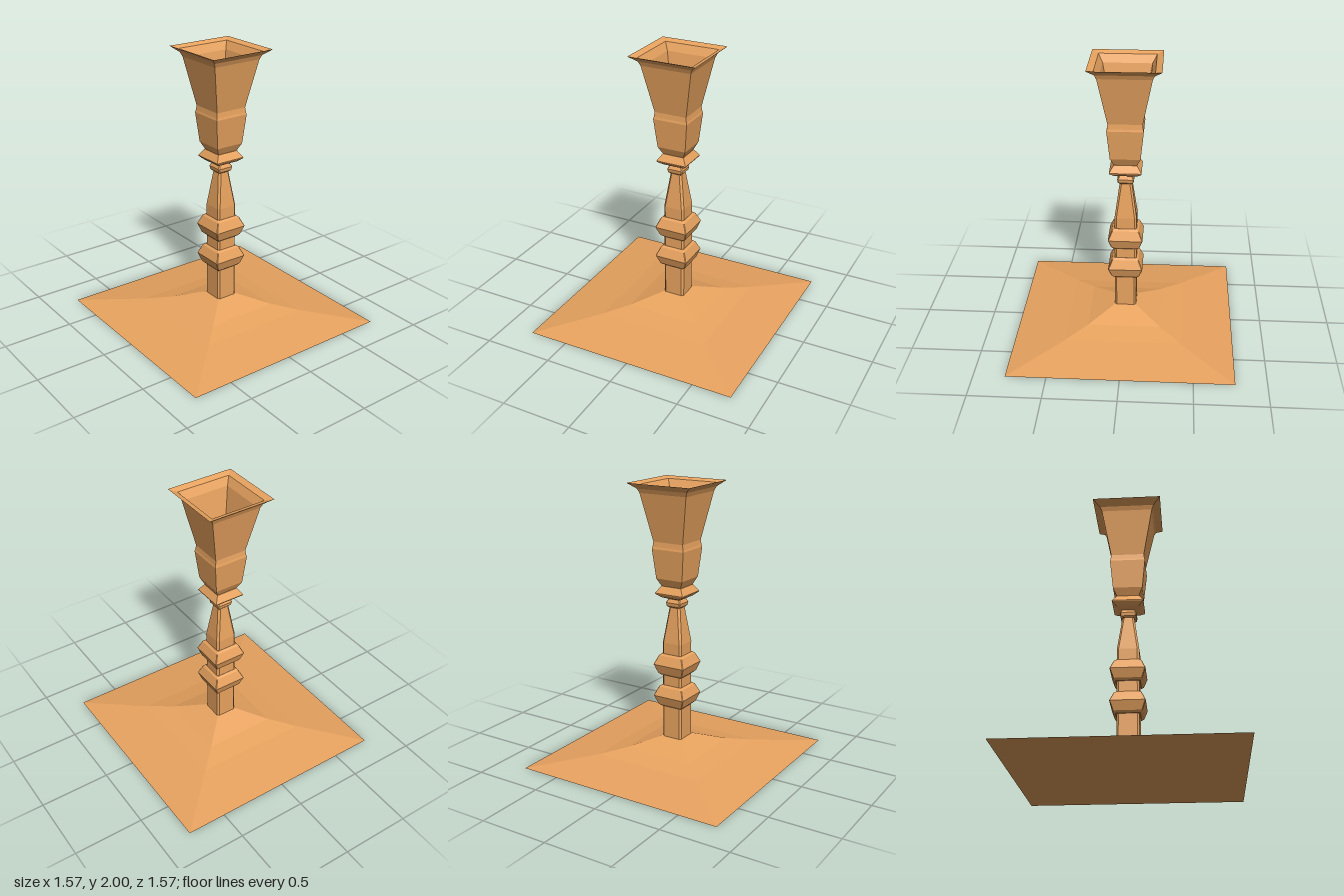
import * as THREE from 'three';

const material = new THREE.MeshStandardMaterial({ color: 0xe8a35f, flatShading: true });

// Square ring with optionally clipped corners, counter-clockwise from above
function ring(half, y, cut) {
  const corners = [[1, 1], [1, -1], [-1, -1], [-1, 1]];
  const c = Math.min(cut, half);
  return corners.flatMap(([x, z], i) => {
    if (!cut) return [[x * half, y, z * half]];
    const onX = [x * half, y, z * (half - c)];
    const onZ = [x * (half - c), y, z * half];
    return i % 2 === 0 ? [onZ, onX] : [onX, onZ];
  });
}

// Skin a profile of [half width, height] points with square rings
function squareTurned(name, profile, cut = 0) {
  const rings = profile.map(([half, y]) => ring(half, y, cut));
  const positions = [];
  for (let k = 0; k < rings.length - 1; k++) {
    const n = rings[k].length;
    for (let i = 0; i < n; i++) {
      const j = (i + 1) % n;
      const a = rings[k][i], b = rings[k][j];
      const c = rings[k + 1][j], d = rings[k + 1][i];
      if (profile[k][0] > 0) positions.push(...a, ...b, ...c);
      if (profile[k + 1][0] > 0) positions.push(...a, ...c, ...d);
    }
  }
  const geometry = new THREE.BufferGeometry();
  geometry.setAttribute('position', new THREE.Float32BufferAttribute(positions, 3));
  geometry.computeVertexNormals();
  const mesh = new THREE.Mesh(geometry, material);
  mesh.name = name;
  return mesh;
}

export function createModel() {
  const group = new THREE.Group();
  group.name = 'candlestick';

  // Flared foot, closed underneath
  group.add(squareTurned('base', [
    [0, 0], [0.783, 0], [0.41, 0.055], [0.26, 0.09], [0.08, 0.157], [0, 0.157],
  ]));

  // Stem with clipped corners, tapering upward
  group.add(squareTurned('stem', [
    [0, 0.15], [0.078, 0.15], [0.078, 0.87], [0.071, 0.92], [0.042, 1.13], [0, 1.13],
  ], 0.014));

  // Two matching knobs
  [['lowerKnob', 0.395], ['upperKnob', 0.63]].forEach(([name, y]) => {
    group.add(squareTurned(name, [
      [0, y], [0.085, y], [0.1, y + 0.015], [0.123, y + 0.08],
      [0.095, y + 0.145], [0.079, y + 0.158], [0, y + 0.158],
    ], 0.004));
  });

  // Small collar at the neck
  group.add(squareTurned('neckCollar', [
    [0, 1.125], [0.045, 1.125], [0.055, 1.135], [0.059, 1.16],
    [0.047, 1.182], [0.04, 1.19], [0, 1.19],
  ], 0.006));

  // Wider collar under the cup
  group.add(squareTurned('cupCollar', [
    [0, 1.185], [0.045, 1.185], [0.08, 1.2], [0.11, 1.225],
    [0.112, 1.232], [0.08, 1.28], [0, 1.28],
  ]));

  // Hollow cup: up the outside, over the lip and down the inside
  group.add(squareTurned('cup', [
    [0, 1.275], [0.077, 1.278], [0.105, 1.335], [0.126, 1.545], [0.122, 1.56],
    [0.118, 1.595], [0.183, 1.93], [0.196, 1.96], [0.245, 2],
    [0.2, 1.985], [0.17, 1.93], [0.105, 1.595], [0.106, 1.55],
    [0.1, 1.345], [0.08, 1.33], [0, 1.33],
  ]));

  return group;
}
